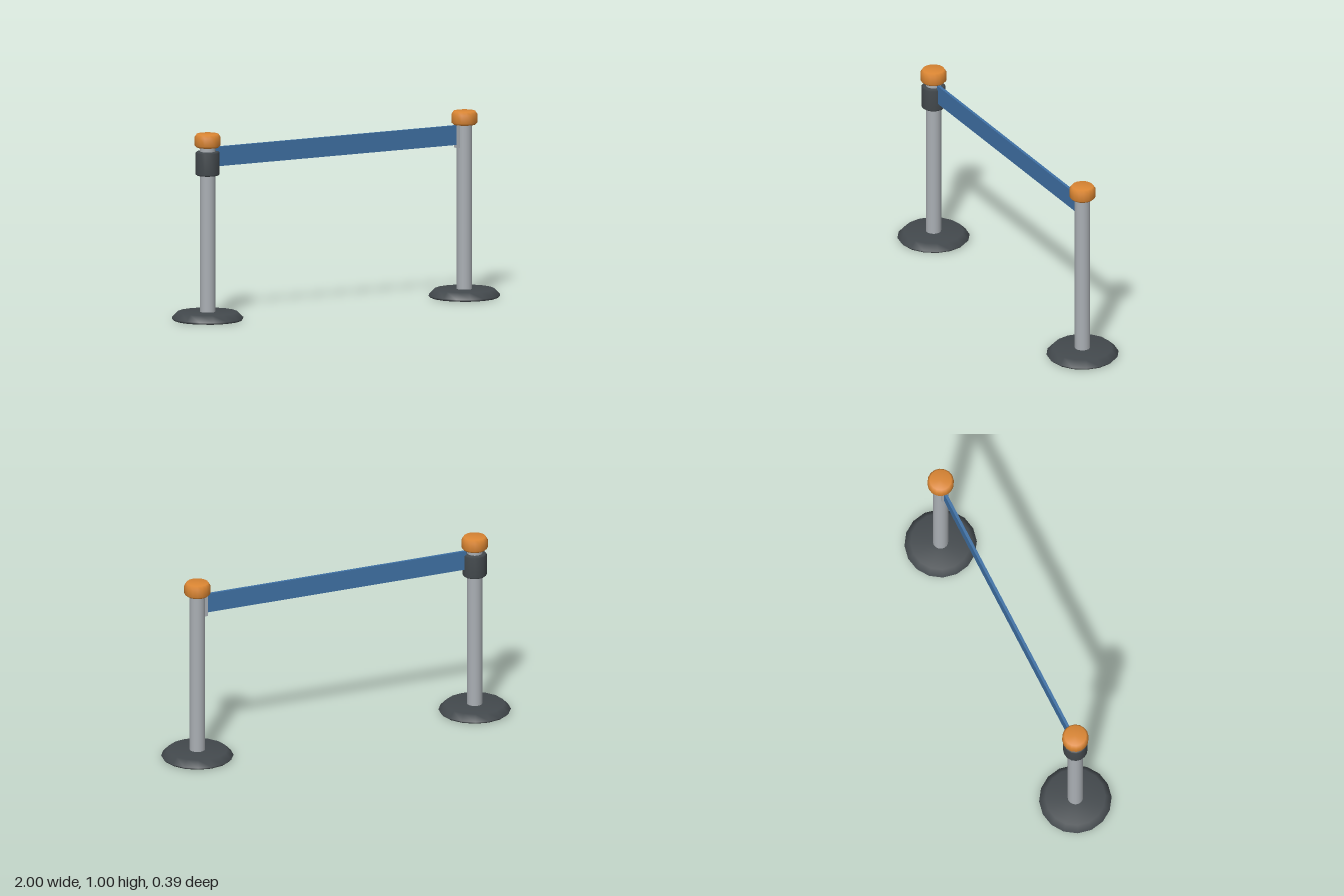
import * as THREE from 'three';

const material = (name, color) => {
  const m = new THREE.MeshStandardMaterial({ color });
  m.name = name;
  return m;
};

export function createModel() {
  const metal = material('brushed metal', 0xaaafb4);
  const dark = material('dark rubber', 0x43494d);
  const orange = material('orange plastic', 0xdb8633);
  const blue = material('blue webbing', 0x3f71a5);

  const model = new THREE.Group();
  model.name = 'beltBarrier';
  const postX = 0.807;

  const add = (parent, name, geometry, mat, x = 0, y = 0, z = 0) => {
    const mesh = new THREE.Mesh(geometry, mat);
    mesh.name = name;
    mesh.position.set(x, y, z);
    parent.add(mesh);
  };
  // Turned part from [radius, height] pairs, bottom to top
  const turned = (profile) =>
    new THREE.LatheGeometry(profile.map(([r, y]) => new THREE.Vector2(r, y)), 16);

  const baseShape = turned([[0, 0], [0.182, 0], [0.193, 0.012], [0.16, 0.045], [0, 0.045]]);
  const postShape = new THREE.CylinderGeometry(0.0415, 0.0415, 0.9, 16);
  const capShape = turned([[0, 0.927], [0.058, 0.927], [0.07, 0.939], [0.07, 0.982], [0.058, 1], [0, 1]]);

  // Two identical stanchions
  for (const side of [-1, 1]) {
    const stanchion = new THREE.Group();
    stanchion.name = side < 0 ? 'rightStanchion' : 'leftStanchion';
    stanchion.position.x = side * postX;
    add(stanchion, 'base', baseShape, dark);
    add(stanchion, 'post', postShape, metal, 0, 0.485);
    add(stanchion, 'cap', capShape, orange);
    model.add(stanchion);
  }

  // Belt cassette around one post
  const cassette = turned([[0.0415, 0.777], [0.057, 0.777], [0.065, 0.785], [0.065, 0.897], [0.057, 0.905], [0.0415, 0.905]]);
  add(model, 'beltCassette', cassette, dark, -postX);

  // Receiving clip on the other post
  add(model, 'beltClip', new THREE.BoxGeometry(0.025, 0.12, 0.035), metal, 0.766, 0.865);

  // Stretched belt
  add(model, 'belt', new THREE.BoxGeometry(1.51, 0.105, 0.015), blue, 0, 0.874);

  return model;
}
